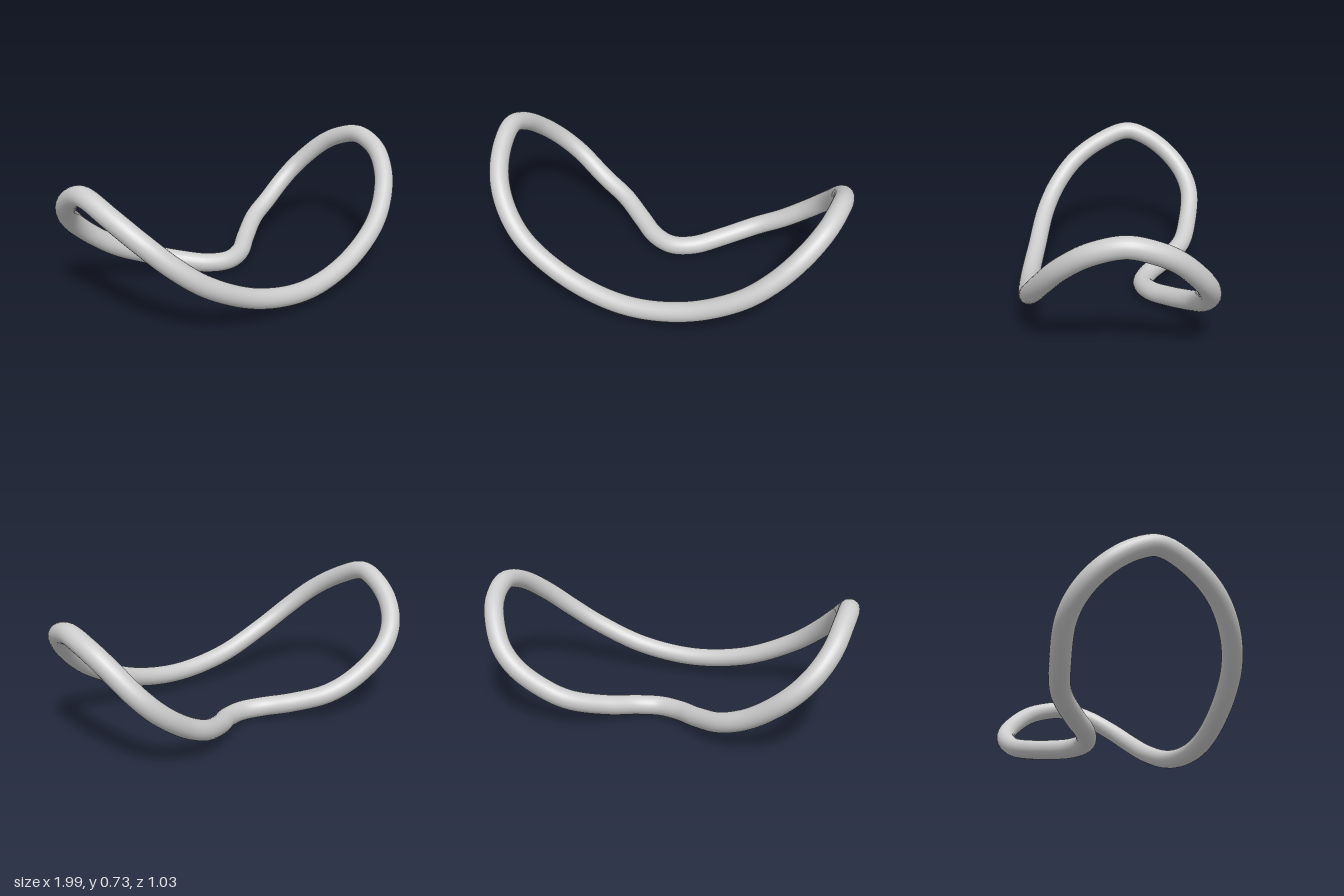
import * as THREE from 'three';

// Closed loop centreline: front rim, left side, dented back, right side
const PATH = [
  [0, 0.09, 0.46], [0.32, 0.139, 0.437], [0.585, 0.263, 0.39], [0.725, 0.371, 0.33],
  [0.84, 0.493, 0.235], [0.917, 0.595, 0.10], [0.942, 0.64, -0.06], [0.93, 0.61, -0.19],
  [0.895, 0.548, -0.30], [0.80, 0.405, -0.425], [0.70, 0.305, -0.46], [0.56, 0.207, -0.448],
  [0.425, 0.142, -0.415], [0.25, 0.085, -0.30], [0.12, 0.06, -0.2], [0, 0.053, -0.163],
  [-0.12, 0.06, -0.2], [-0.24, 0.083, -0.29], [-0.40, 0.132, -0.40], [-0.56, 0.207, -0.446],
  [-0.735, 0.34, -0.467], [-0.84, 0.447, -0.423], [-0.91, 0.555, -0.325], [-0.938, 0.642, -0.2],
  [-0.946, 0.677, -0.08], [-0.917, 0.615, 0.09], [-0.85, 0.515, 0.24], [-0.745, 0.395, 0.345],
  [-0.60, 0.277, 0.41], [-0.32, 0.142, 0.447],
];

export function createModel() {
  const model = new THREE.Group();
  model.name = 'bentLoop';

  // Round wire ring bent into a saddle
  const curve = new THREE.CatmullRomCurve3(
    PATH.map((p) => new THREE.Vector3(...p)), true, 'centripetal');
  const ring = new THREE.Mesh(
    new THREE.TubeGeometry(curve, 240, 0.053, 24, true),
    new THREE.MeshStandardMaterial({ color: 0xcccccc }));
  ring.name = 'wireRing';
  model.add(ring);

  return model;
}
